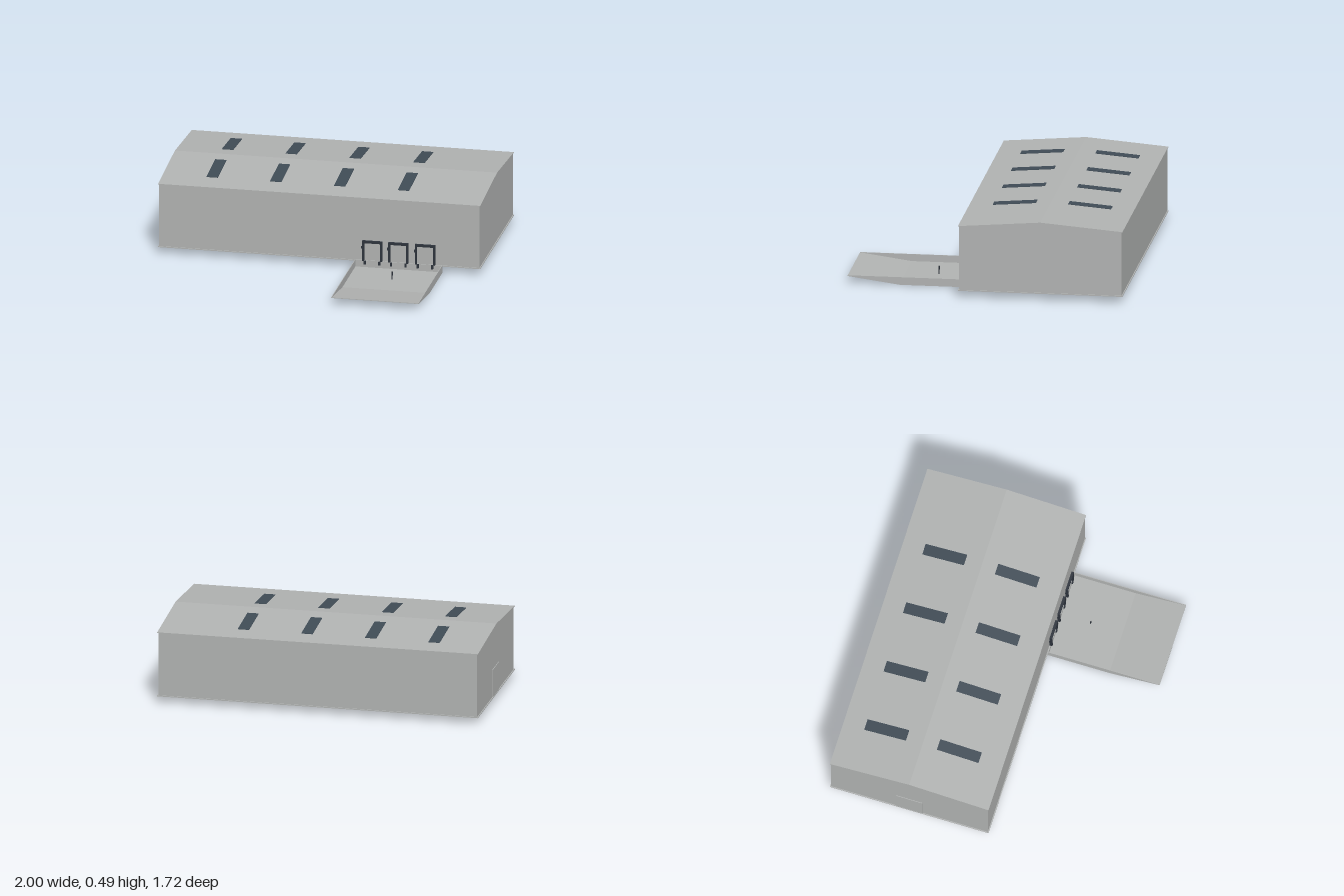
import * as THREE from 'three';

const mat = (name, color) => {
  const m = new THREE.MeshStandardMaterial({ color });
  m.name = name;
  return m;
};

export function createModel() {
  const model = new THREE.Group();
  model.name = 'warehouse';
  const concrete = mat('concreteGrey', 0xb0b2b1);
  const glass = mat('skylightBlue', 0x3f4b55);
  const seal = mat('dockSealDark', 0x2c323b);

  const add = (name, geometry, material, parent = model) => {
    const mesh = new THREE.Mesh(geometry, material);
    mesh.name = name;
    parent.add(mesh);
    return mesh;
  };
  // box given by its min and max on each axis
  const box = (name, [x0, x1], [y0, y1], [z0, z1], material, parent) => {
    const mesh = add(name, new THREE.BoxGeometry(x1 - x0, y1 - y0, z1 - z0), material, parent);
    mesh.position.set((x0 + x1) / 2, (y0 + y1) / 2, (z0 + z1) / 2);
    return mesh;
  };
  // (z, y) profile extruded along x from x0 to x1
  const profile = (name, points, x0, x1, material) => {
    const shape = new THREE.Shape(points.map(([z, y]) => new THREE.Vector2(z, y)));
    const g = new THREE.ExtrudeGeometry(shape, { depth: x1 - x0, bevelEnabled: false });
    g.rotateY(-Math.PI / 2).translate(x1, 0, 0);
    return add(name, g, material);
  };

  // hall: base slab, walls with gables, thin overhanging roof
  const ridgeZ = -0.355, ridgeY = 0.489, eaveY = 0.448, back = -0.86, front = 0.15;
  box('baseSlab', [-1, 1], [0.04, 0.046], [back, front], concrete);
  profile('walls', [[back + 0.006, 0.045], [front - 0.006, 0.045], [front - 0.006, eaveY - 0.003],
    [ridgeZ, ridgeY - 0.003], [back + 0.006, eaveY - 0.003]], -0.994, 0.994, concrete);
  profile('roof', [[back, eaveY - 0.004], [ridgeZ, ridgeY - 0.004], [front, eaveY - 0.004],
    [front, eaveY], [ridgeZ, ridgeY], [back, eaveY]], -1, 1, concrete);

  // skylights on both roof slopes
  const pitch = Math.atan2(ridgeY - eaveY, front - ridgeZ);
  for (const x of [-0.695, -0.3, 0.097, 0.493]) {
    for (const side of [-1, 1]) {
      const dz = side > 0 ? 0.225 : 0.237;
      const s = add('skylight', new THREE.BoxGeometry(0.07, 0.006, 0.265), glass);
      s.position.set(x, ridgeY - dz * Math.tan(pitch), ridgeZ + side * dz);
      s.rotation.x = side * pitch;
    }
  }

  // personnel door in the right-hand gable
  box('sideDoor', [-0.998, -0.993], [0.046, 0.22], [-0.44, -0.27], concrete);

  // sunken loading ramp: folded floor, side walls, end wall under the hall
  const rampL = 0.222, rampR = 0.765, rampEnd = 0.86, fold = 0.54;
  profile('rampFloor', [[front, 0], [fold, 0], [rampEnd, 0.043], [rampEnd, 0.047],
    [fold, 0.004], [front, 0.004]], rampL, rampR, concrete);
  const sidePoints = [[front, 0], [fold, 0], [rampEnd, 0.043], [rampEnd, 0.048], [front, 0.048]];
  profile('rampLeftWall', sidePoints, rampR - 0.004, rampR, concrete);
  profile('rampRightWall', sidePoints, rampL, rampL + 0.004, concrete);
  box('rampEndWall', [rampL, rampR], [0, 0.047], [front - 0.006, front + 0.002], concrete);

  // dock doors with a dark surround, bumpers and a control box
  for (const x of [0.33, 0.492, 0.658]) {
    const dock = new THREE.Group();
    dock.name = 'dockDoor';
    dock.position.x = x;
    model.add(dock);
    const z = [front - 0.006, front + 0.01];
    box('dockPanel', [-0.05, 0.05], [0.046, 0.16], [front - 0.008, front - 0.004], concrete, dock);
    box('sealTop', [-0.062, 0.062], [0.16, 0.174], z, seal, dock);
    for (const s of [-1, 1]) {
      const cx = s * 0.056;
      box('sealSide', [cx - 0.006, cx + 0.006], [0.046, 0.16], z, seal, dock);
      const bx = s * 0.045;
      box('bumper', [bx - 0.006, bx + 0.006], [0.022, 0.046], [front, front + 0.01], seal, dock);
    }
    box('controlBox', [-0.07, -0.062], [0.12, 0.136], [front - 0.006, front], seal, dock);
  }

  // small figure standing on the ramp floor
  const figure = add('figureBody', new THREE.CylinderGeometry(0.005, 0.003, 0.048, 8), seal);
  figure.position.set(0.492, 0.028, 0.337);
  const head = add('figureHead', new THREE.SphereGeometry(0.005, 8, 6), concrete);
  head.position.set(0.492, 0.057, 0.337);

  return model;
}
